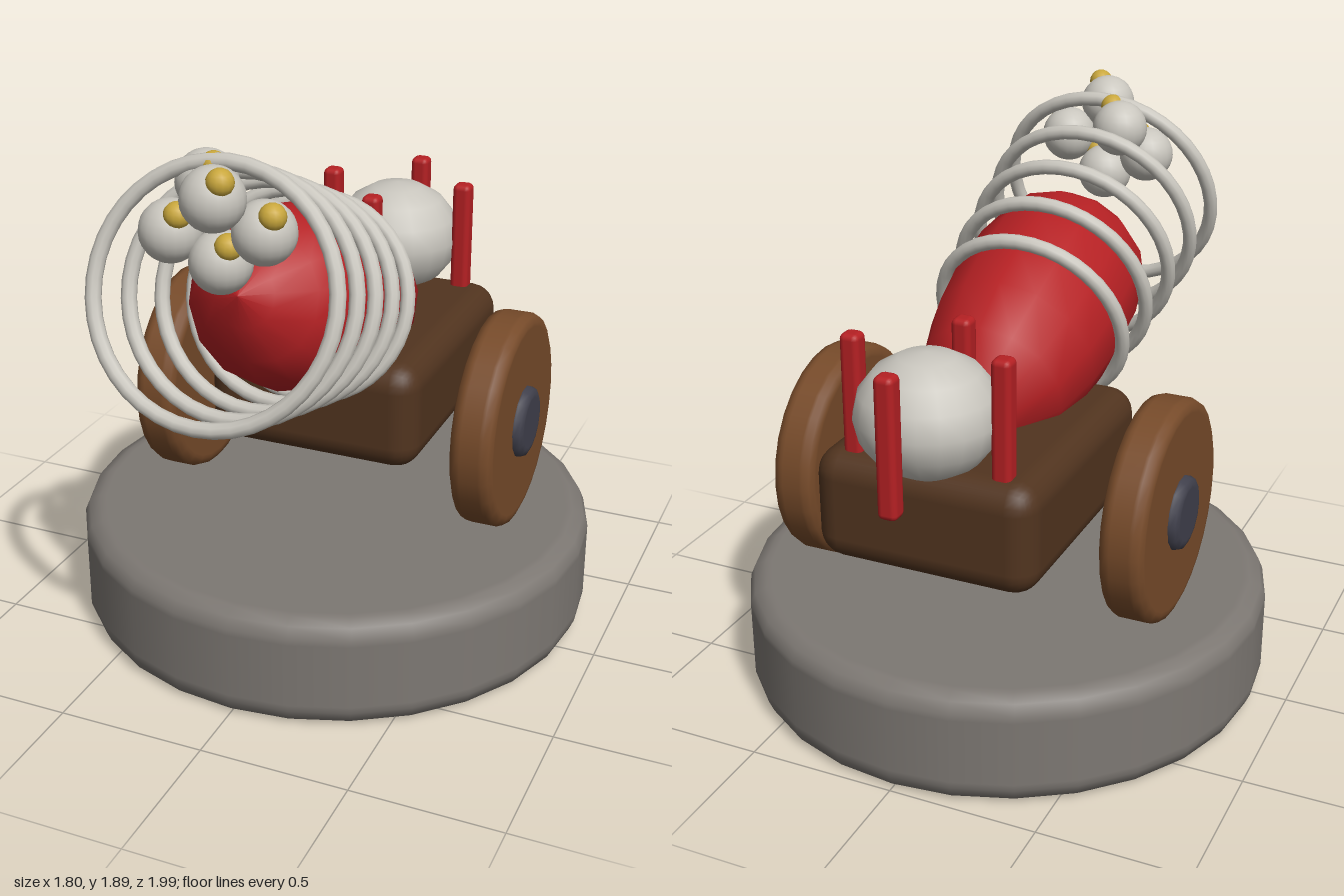
import * as THREE from 'three';
import { RoundedBoxGeometry } from 'three/addons/geometries/RoundedBoxGeometry.js';

const material = (name, color) => {
  const m = new THREE.MeshStandardMaterial({ color });
  m.name = name;
  return m;
};

// Solid of revolution from [radius, height] pairs, listed bottom to top
const lathe = (profile, sides) =>
  new THREE.LatheGeometry(profile.map(([r, y]) => new THREE.Vector2(r, y)), sides);

// Disc with rounded rims, centred on its own axis
function roundedDisc(radius, height, bevel, sides) {
  const h = height / 2;
  const rim = [[radius - bevel * 1.4, h], [radius - bevel, h], [radius - bevel * 0.3, h - bevel * 0.3],
    [radius, h - bevel], [radius, h - bevel * 1.4]];
  const bottom = rim.map(([r, y]) => [r, -y]);
  return lathe([[0, -h], ...bottom, ...rim.reverse(), [0, h]], sides);
}

export function createModel() {
  const model = new THREE.Group();
  model.name = 'cannonOnStand';

  const stone = material('stone grey', 0x7d7873);
  const darkWood = material('dark wood', 0x51341f);
  const wood = material('wheel wood', 0x774b2a);
  const iron = material('iron', 0x40404c);
  const red = material('red', 0xb52023);
  const white = material('off white', 0xc9c6be);
  const gold = material('gold', 0xc9a73c);

  function add(name, geometry, mat, x, y, z, parent = model) {
    const mesh = new THREE.Mesh(geometry, mat);
    mesh.name = name;
    mesh.position.set(x, y, z);
    parent.add(mesh);
    return mesh;
  }

  // Round stand
  add('base', roundedDisc(0.9, 0.38, 0.055, 28), stone, 0, 0.195, -0.1);

  // Carriage block
  add('carriage', new RoundedBoxGeometry(0.76, 0.38, 0.93, 3, 0.09), darkWood, 0, 0.825, -0.305);

  // Wheels with hub caps
  const wheelGeometry = roundedDisc(0.372, 0.147, 0.03, 28);
  const hubGeometry = roundedDisc(0.125, 0.1, 0.025, 14);
  for (const side of [1, -1]) {
    const label = side > 0 ? 'left' : 'right';
    add(label + 'Wheel', wheelGeometry, wood, side * 0.581, 0.745, -0.19).rotation.z = -side * Math.PI / 2;
    add(label + 'Hub', hubGeometry, iron, side * 0.635, 0.745, -0.19).rotation.z = -side * Math.PI / 2;
  }

  // Tilted barrel, its axis along the group's y
  const barrel = new THREE.Group();
  barrel.name = 'barrelAssembly';
  barrel.position.set(0, 1.208, 0.1);
  barrel.rotation.x = THREE.MathUtils.degToRad(70);
  model.add(barrel);
  add('barrel', lathe([[0, -0.6], [0.145, -0.49], [0.25, -0.345], [0.295, -0.17], [0.312, 0], [0.308, 0.2],
    [0.278, 0.365], [0.205, 0.455], [0.1, 0.55], [0, 0.6]], 14), red, 0, 0, 0, barrel);

  // Spring of widening rings around the barrel
  for (let i = 0; i < 5; i++) {
    const ring = new THREE.TorusGeometry(0.33 + 0.0145 * i, 0.025, 10, 40);
    add('springRing' + (i + 1), ring, white, 0, 0.194 * i, 0, barrel).rotation.x = Math.PI / 2;
  }

  // Cluster of small balls at the muzzle, each with a gold stud
  const shots = [[0.035, 1.785, 0.875], [-0.155, 1.635, 0.775], [0.152, 1.675, 0.79],
    [0, 1.557, 0.765], [-0.1, 1.755, 0.645]];
  const shotGeometry = new THREE.SphereGeometry(0.096, 20, 14);
  const studGeometry = new THREE.SphereGeometry(0.041, 14, 10);
  shots.forEach(([x, y, z], i) => {
    add('shot' + (i + 1), shotGeometry, white, x, y, z);
    add('stud' + (i + 1), studGeometry, gold, x + 0.045, y + 0.065, z + 0.042);
  });

  // Large rear ball held between four posts
  add('rearBall', new THREE.SphereGeometry(0.232, 20, 8), white, 0, 1.175, -0.676).scale.y = 0.87;
  const postGeometry = new RoundedBoxGeometry(0.066, 0.46, 0.066, 2, 0.02);
  for (let i = 0; i < 4; i++) {
    const a = i * Math.PI / 2;
    add('post' + (i + 1), postGeometry, red, 0.253 * Math.cos(a), 1.17, -0.677 + 0.253 * Math.sin(a));
  }

  return model;
}
